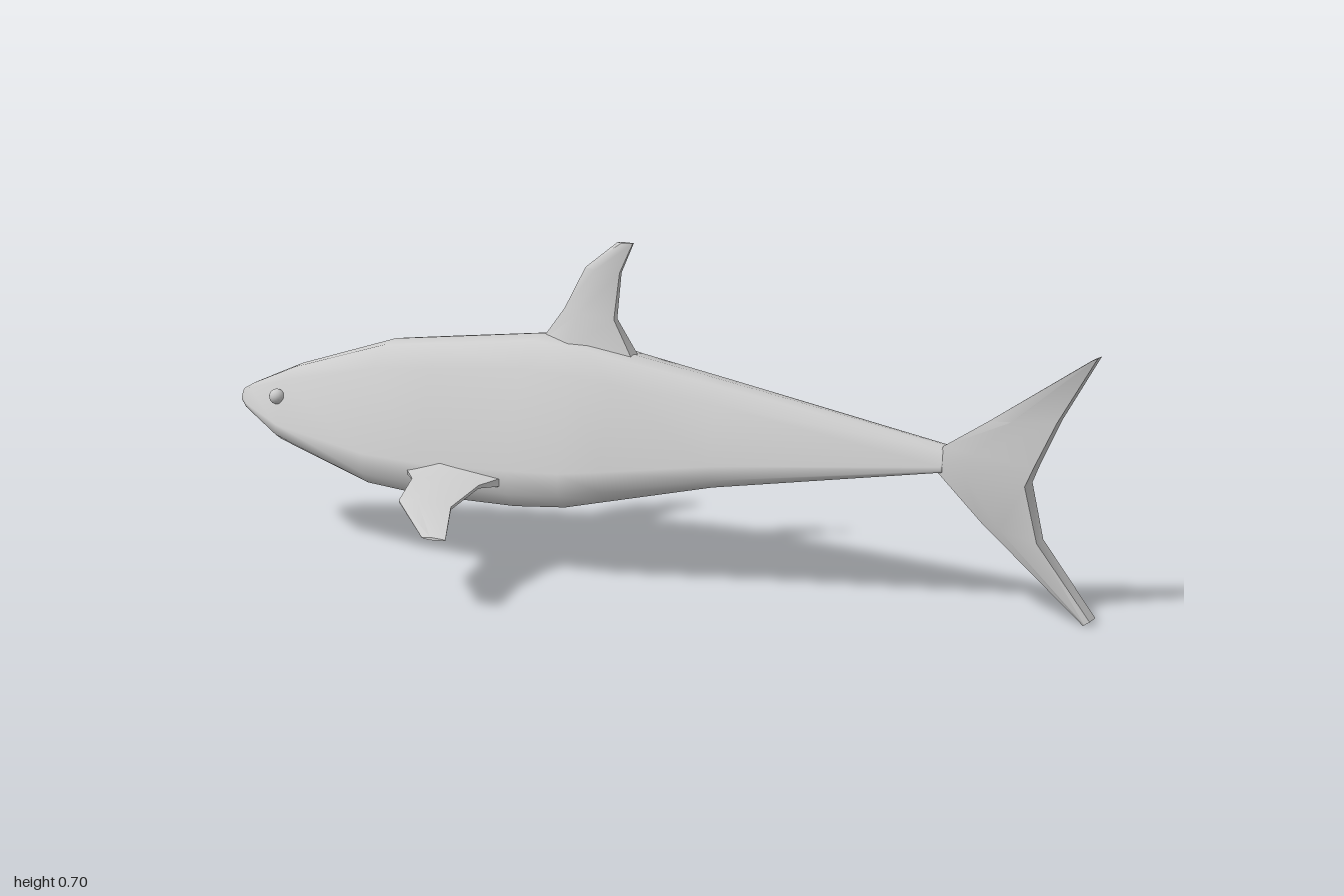
import * as THREE from 'three';
import { toCreasedNormals } from 'three/addons/utils/BufferGeometryUtils.js';

const material = new THREE.MeshStandardMaterial({ color: 0xcccccc });

// Skin a list of equal-length point rings, close both ends, face outward
function loft(rings) {
  const n = rings[0].length, last = (rings.length - 1) * n;
  const pts = rings.flat();
  const faces = [];
  for (let r = 0; r < rings.length - 1; r++) {
    for (let i = 0; i < n; i++) {
      const a = r * n + i, b = r * n + (i + 1) % n;
      faces.push([a, b, b + n], [a, b + n, a + n]);
    }
  }
  for (let i = 1; i < n - 1; i++) {
    faces.push([0, i + 1, i], [last, last + i, last + i + 1]);
  }
  let volume = 0;
  const v = pts.map((p) => new THREE.Vector3(...p));
  for (const [a, b, c] of faces) volume += v[a].dot(v[b].clone().cross(v[c]));
  if (volume < 0) faces.forEach((f) => f.reverse());
  const geo = new THREE.BufferGeometry();
  geo.setAttribute('position', new THREE.Float32BufferAttribute(pts.flat(), 3));
  geo.setIndex(faces.flat());
  geo.computeVertexNormals();
  return geo;
}

// Fin cross-section: thin leading edge, thickest part, trailing edge
function finRing(lead, trail, half, axis, leadK, trailK) {
  const at = (t, side) => {
    const p = lead.map((c, i) => c + (trail[i] - c) * t);
    p[axis] += side;
    return p;
  };
  return [
    at(0, half * leadK), at(0.35, half), at(1, half * trailK),
    at(1, -half * trailK), at(0.35, -half), at(0, -half * leadK),
  ];
}

function addMesh(group, name, geo) {
  const mesh = new THREE.Mesh(geo, material);
  mesh.name = name;
  group.add(mesh);
  return mesh;
}

export function createModel() {
  const group = new THREE.Group();
  group.name = 'fish';

  // Body: one half-section scaled along the length
  const half = [[0.3, 0.98], [0.65, 0.84], [1, 0.26], [1, 0.12], [0.8, 0.03]];
  const section = [[0, 1], ...half, [0, 0], ...half.map(([w, h]) => [-w, h]).reverse()];
  const stations = [ // x, bottom, top, half width
    [-1.0, 0.285, 0.312, 0.02],
    [-0.97, 0.272, 0.328, 0.05],
    [-0.85, 0.22, 0.38, 0.118],
    [-0.61, 0.147, 0.455, 0.155],
    [-0.46, 0.137, 0.472, 0.175],
    [-0.24, 0.135, 0.497, 0.176],
    [-0.12, 0.145, 0.488, 0.175],
    [-0.03, 0.165, 0.468, 0.16],
    [0.2, 0.215, 0.427, 0.117],
    [0.68, 0.285, 0.34, 0.03],
  ];
  addMesh(group, 'body', loft(stations.map(([x, lo, hi, w]) =>
    section.map(([sw, sh]) => [x, lo + (hi - lo) * sh, w * sw]))));

  // Dorsal fin
  const dorsal = [ // lead x, lead y, trail x, trail y, half thickness
    [-0.25, 0.475, -0.02, 0.455, 0.045],
    [-0.19, 0.555, -0.07, 0.54, 0.021],
    [-0.14, 0.647, -0.058, 0.64, 0.013],
    [-0.065, 0.705, -0.028, 0.705, 0.007],
  ];
  addMesh(group, 'dorsalFin', toCreasedNormals(loft(dorsal.map(([a, b, c, d, t]) =>
    finRing([a, b, 0], [c, d, 0], t, 2, 0.15, 0.4))), 1.1));

  // Tail fin, lower tip to upper tip
  const tail = [
    [0.985, 0.0, 1.0, 0.01, 0.021],
    [0.765, 0.19, 0.885, 0.16, 0.024],
    [0.665, 0.29, 0.858, 0.275, 0.028],
    [0.68, 0.34, 0.875, 0.315, 0.024],
    [0.775, 0.4, 0.92, 0.41, 0.019],
    [0.985, 0.54, 1.0, 0.547, 0.015],
  ];
  addMesh(group, 'tailFin', toCreasedNormals(loft(tail.map(([a, b, c, d, t]) =>
    finRing([a, b, 0], [c, d, 0], t, 2, 0.7, 0.85))), 0.9));

  // Paired pectoral fins and eyes
  const pectoral = [ // lead x, lead z, trail x, trail z, y, half thickness
    [-0.5, 0.15, -0.23, 0.15, 0.2, 0.034],
    [-0.48, 0.178, -0.26, 0.178, 0.202, 0.027],
    [-0.435, 0.237, -0.272, 0.24, 0.205, 0.011],
    [-0.39, 0.37, -0.26, 0.38, 0.19, 0.01],
    [-0.262, 0.498, -0.207, 0.498, 0.154, 0.003],
  ];
  for (const [prefix, s] of [['front', 1], ['back', -1]]) {
    addMesh(group, prefix + 'PectoralFin', toCreasedNormals(loft(
      pectoral.map(([a, b, c, d, y, t]) =>
        finRing([a, y, b * s], [c, y, d * s], t, 1, 0.15, 0.3))), 1.1));

    const eye = addMesh(group, prefix + 'Eye', new THREE.SphereGeometry(0.017, 16, 12));
    eye.position.set(-0.86, 0.32, 0.094 * s);
  }
  return group;
}
